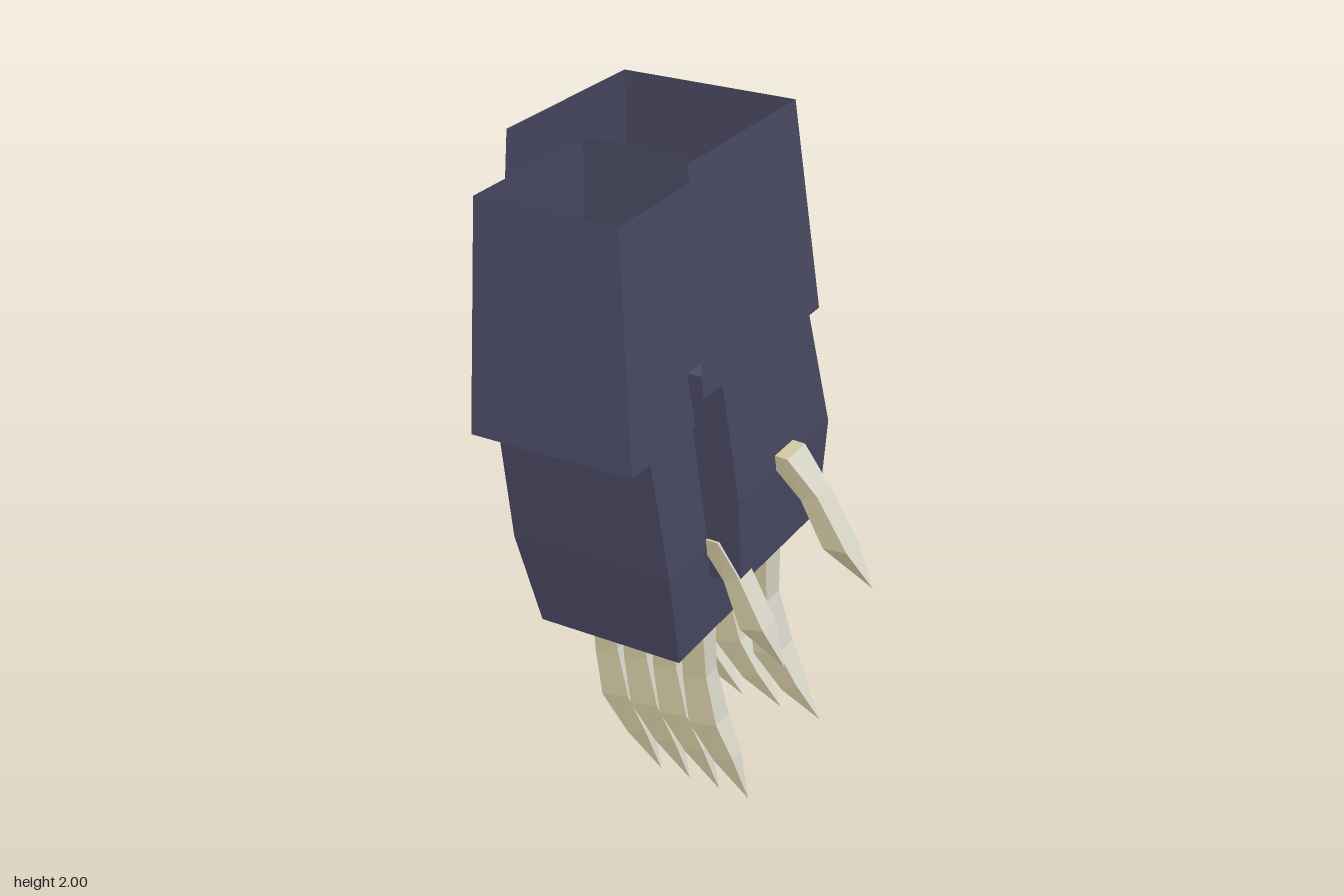
import * as THREE from 'three';

const navy = new THREE.MeshStandardMaterial({ color: 0x4a4a63, side: THREE.DoubleSide });
navy.name = 'dark navy';
const beige = new THREE.MeshStandardMaterial({ color: 0xcfc59f });
beige.name = 'beige horn';
const pale = new THREE.MeshStandardMaterial({ color: 0xd8d5c8 });
pale.name = 'pale horn';

// Flat-faced loft through rings listed from top to bottom.
// sides[i] is the material index of side i, or null to leave it out.
function loft(name, rings, materials, sides, caps = true) {
  const faces = materials.map(() => []);
  const tri = (m, a, b, c) => faces[m].push(...a, ...b, ...c);
  const n = sides.length;
  for (let r = 0; r + 1 < rings.length; r++) {
    const up = rings[r], low = rings[r + 1];
    sides.forEach((m, i) => {
      if (m === null) return;
      const j = (i + 1) % n;
      tri(m, up[i], up[j], low[j]);
      tri(m, up[i], low[j], low[i]);
    });
  }
  if (caps) {
    const top = rings[0], bottom = rings[rings.length - 1];
    for (let i = 1; i + 1 < n; i++) {
      tri(0, top[0], top[i + 1], top[i]);
      tri(0, bottom[0], bottom[i], bottom[i + 1]);
    }
  }
  const geometry = new THREE.BufferGeometry();
  geometry.setAttribute('position', new THREE.Float32BufferAttribute(faces.flat(), 3));
  let start = 0;
  faces.forEach((f, m) => {
    geometry.addGroup(start, f.length / 3, m);
    start += f.length / 3;
  });
  geometry.computeVertexNormals();
  const mesh = new THREE.Mesh(geometry, materials);
  mesh.name = name;
  return mesh;
}

// Rectangular ring: corners run +x-z, +x+z, -x+z, -x-z
const box = ([y, x0, x1, z0, z1]) => [[x1, y, z0], [x1, y, z1], [x0, y, z1], [x0, y, z0]];

// Claw: each row is outer x, outer y, inner x, inner y, half width
function claw(name, rows, z, dx = 0) {
  const rings = rows.map(([ox, oy, ix, iy, w]) => [
    [ox + dx, oy, z - w], [ox + dx, oy, z + w], [ix + dx, iy, z + w], [ix + dx, iy, z - w],
  ]);
  return loft(name, rings, [beige, pale], [1, 0, 0, 1]);
}

// Back spike: three-sided bow tie, pinched at the middle
function spike(x, rows) {
  const rings = rows.map(([y, base, apex, w]) => [[x + w, y, base], [x - w, y, base], [x, y, apex]]);
  return loft('backSpike', rings, [beige, pale], [0, 1, 0]);
}

function buildPaw(name, p) {
  const paw = new THREE.Group();
  paw.name = name;
  paw.add(loft('sleeve', p.sleeve.map(box), [navy], p.sleeveSides, false));
  paw.add(loft('hand', p.hand.map(box), [navy], [0, 0, 0, 0]));
  paw.add(claw('thumbClaw', p.thumb, p.thumbZ));
  for (let i = 0; i < 4; i++) {
    paw.add(claw('fingerClaw', p.finger, p.fingerZ, -i * p.fingerGap));
    paw.add(spike(p.spikeX + i * p.spikeGap, p.spike));
  }
  return paw;
}

export function createModel() {
  const model = new THREE.Group();
  model.name = 'clawedPaws';

  // Large rear paw, its sleeve open at the front
  model.add(buildPaw('rearPaw', {
    sleeve: [[2, -0.39, 0.11, -0.27, 0.27], [1.415, -0.438, 0.157, -0.345, 0.28]],
    sleeveSides: [0, null, 0, 0],
    hand: [
      [1.41, -0.425, 0.145, -0.31, 0.165],
      [1.05, -0.445, 0.165, -0.41, 0.11],
      [0.765, -0.427, 0.15, -0.395, 0.065],
    ],
    thumb: [
      [0.2, 1.085, 0.12, 1.09, 0.052],
      [0.285, 0.985, 0.235, 0.965, 0.037],
      [0.375, 0.84, 0.305, 0.835, 0.037],
      [0.44, 0.73, 0.44, 0.73, 0],
    ],
    thumbZ: -0.145,
    finger: [
      [0.112, 0.85, 0.045, 0.85, 0.048],
      [0.116, 0.58, 0.058, 0.56, 0.038],
      [0.16, 0.425, 0.08, 0.4, 0.042],
      [0.212, 0.325, 0.165, 0.295, 0.03],
      [0.275, 0.21, 0.275, 0.21, 0],
    ],
    fingerZ: -0.19,
    fingerGap: 0.125,
    spikeX: -0.293,
    spikeGap: 0.115,
    spike: [[1.275, -0.34, -0.397, 0.03], [1.05, -0.4, -0.416, 0.008], [0.82, -0.39, -0.445, 0.028]],
  }));

  // Smaller front paw
  model.add(buildPaw('frontPaw', {
    sleeve: [[1.885, -0.382, 0.02, -0.05, 0.43], [1.25, -0.418, 0.055, -0.095, 0.45]],
    sleeveSides: [0, 0, 0, 0],
    hand: [
      [1.255, -0.41, 0.045, -0.06, 0.35],
      [0.865, -0.422, 0.06, -0.14, 0.285],
      [0.57, -0.392, 0.045, -0.155, 0.215],
    ],
    thumb: [
      [0.095, 0.895, 0.03, 0.895, 0.052],
      [0.145, 0.8, 0.105, 0.77, 0.035],
      [0.225, 0.65, 0.155, 0.635, 0.036],
      [0.275, 0.53, 0.275, 0.53, 0],
    ],
    thumbZ: 0.042,
    finger: [
      [0.01, 0.65, -0.062, 0.65, 0.04],
      [0.022, 0.4, -0.052, 0.37, 0.031],
      [0.058, 0.25, -0.03, 0.23, 0.037],
      [0.105, 0.14, 0.045, 0.115, 0.025],
      [0.145, 0, 0.145, 0, 0],
    ],
    fingerZ: -0.005,
    fingerGap: 0.097,
    spikeX: -0.303,
    spikeGap: 0.09,
    spike: [[1.1, -0.09, -0.135, 0.024], [0.865, -0.13, -0.146, 0.007], [0.63, -0.15, -0.195, 0.023]],
  }));
  return model;
}
